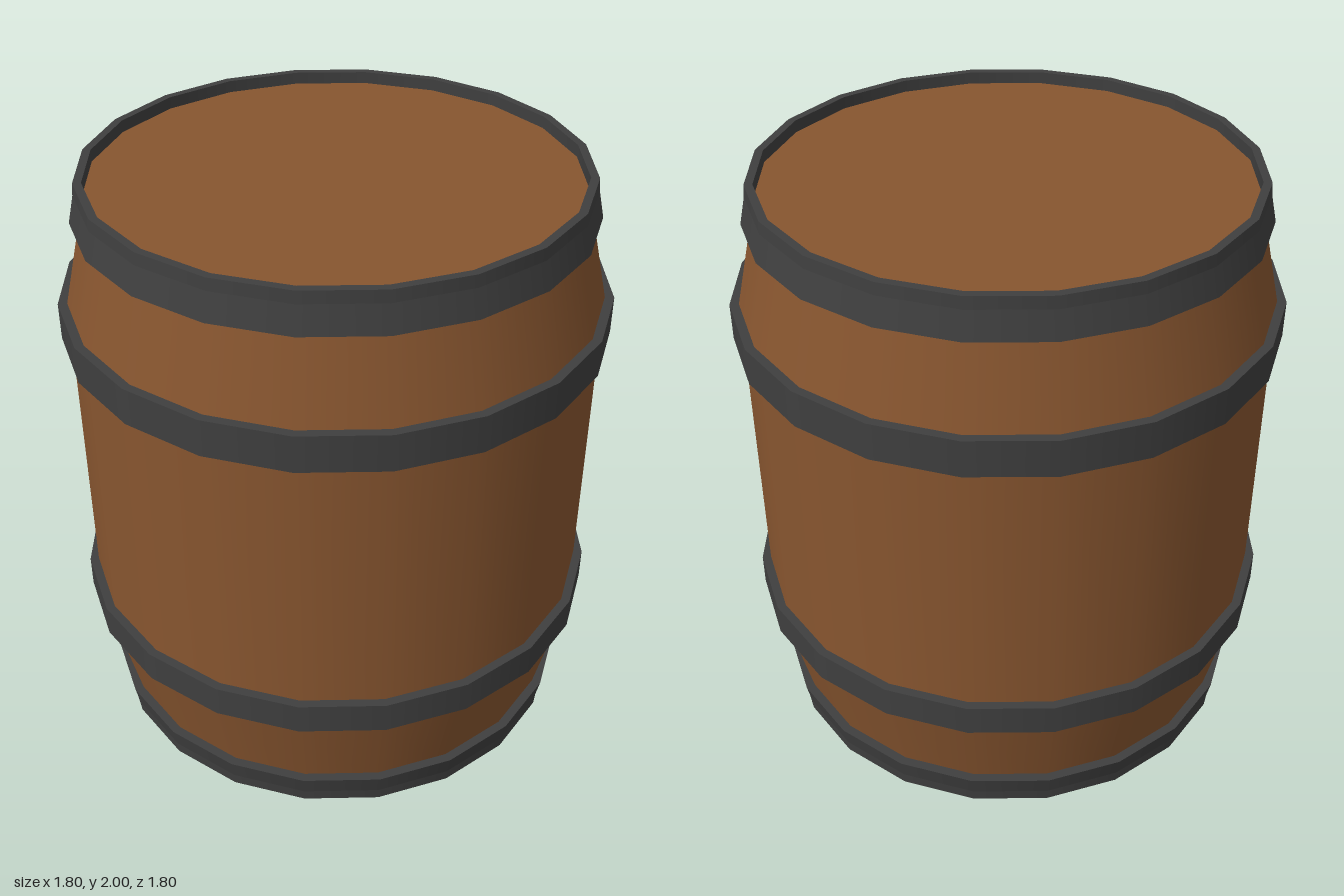
import * as THREE from 'three';
import { mergeGeometries } from 'three/addons/utils/BufferGeometryUtils.js';

const SIDES = 20;

// Revolve a profile, smooth around the axis but sharp at each profile point.
function revolve(profile) {
  const bands = [];
  for (let i = 0; i < profile.length - 1; i++) {
    const pair = [profile[i], profile[i + 1]].map(([r, y]) => new THREE.Vector2(r, y));
    bands.push(new THREE.LatheGeometry(pair, SIDES));
  }
  return mergeGeometries(bands);
}

export function createModel() {
  const barrel = new THREE.Group();
  barrel.name = 'barrel';
  const wood = new THREE.MeshStandardMaterial({ color: 0x87552f });
  wood.name = 'wood';
  const iron = new THREE.MeshStandardMaterial({ color: 0x3f3f3f });
  iron.name = 'iron';

  const add = (name, geometry, material) => {
    const mesh = new THREE.Mesh(geometry, material);
    mesh.name = name;
    barrel.add(mesh);
    return mesh;
  };

  // Wooden wall: straight middle with tapered ends
  add('staves', revolve([[0.78, 0.03], [0.87, 0.425], [0.87, 1.59], [0.785, 1.96]]), wood);

  // Recessed end discs
  const lid = add('lid', new THREE.CircleGeometry(0.79, SIDES), wood);
  lid.rotation.x = -Math.PI / 2;
  lid.position.y = 1.96;
  const base = add('base', new THREE.CircleGeometry(0.79, SIDES), wood);
  base.rotation.x = Math.PI / 2;
  base.position.y = 0.03;

  // Straight hoops around the belly
  for (const [name, y0, y1] of [['lowerHoop', 0.425, 0.535], ['upperHoop', 1.465, 1.59]]) {
    add(name, revolve([[0.78, y0], [0.9, y0], [0.9, y1], [0.86, y1]]), iron);
  }

  // Flared rim hoops, standing a little proud of the end discs
  add('topRim', revolve([
    [0.79, 1.87], [0.835, 1.87], [0.815, 1.96], [0.812, 2], [0.785, 2], [0.785, 1.95],
  ]), iron);
  add('bottomRim', revolve([
    [0.785, 0.04], [0.785, 0], [0.812, 0], [0.815, 0.04], [0.83, 0.11], [0.785, 0.11],
  ]), iron);

  return barrel;
}
